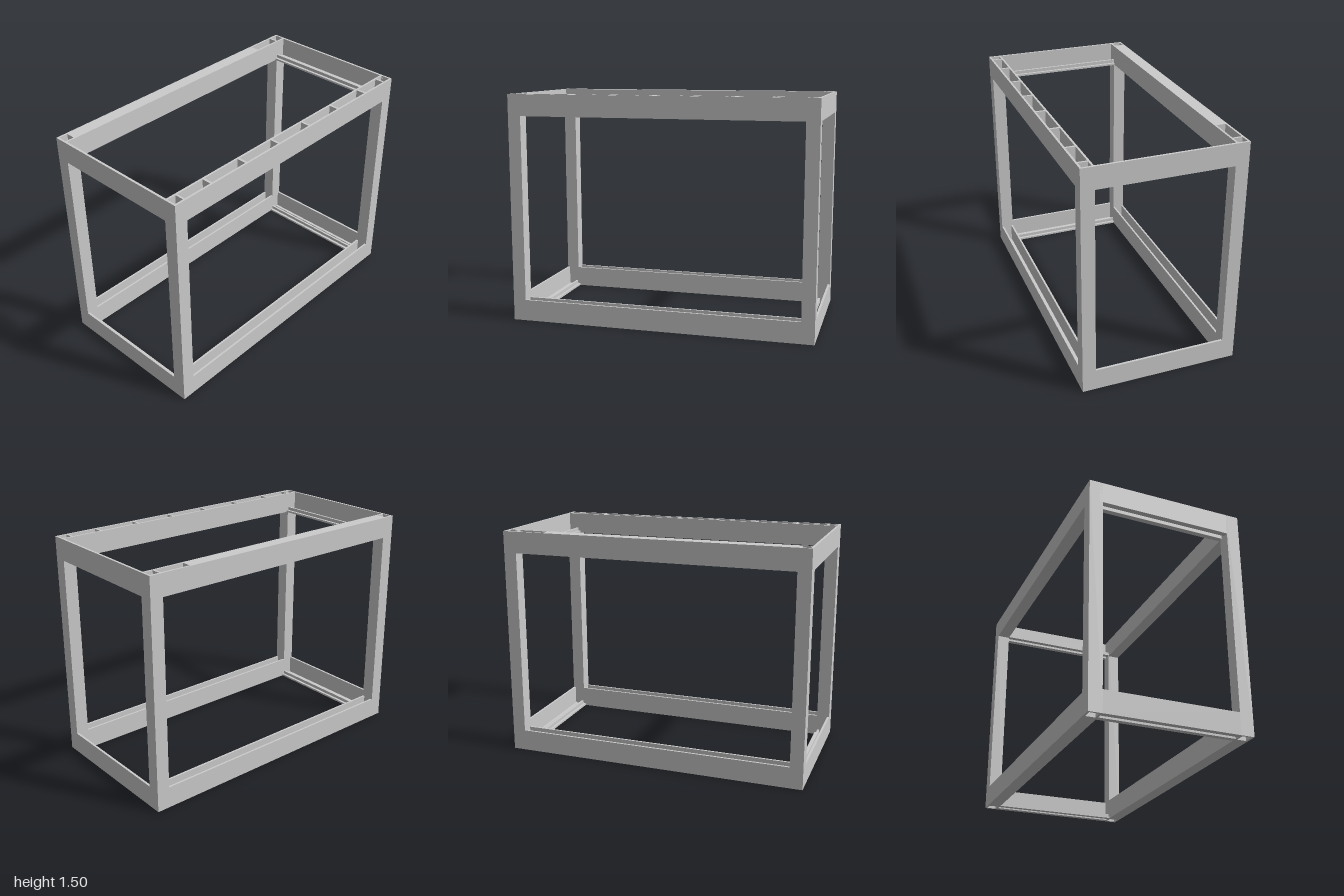
import * as THREE from 'three';

const W = 1, D = 0.51, H = 1.5;      // half width, half depth, height
const POST = 0.085, RAIL = 0.14, T = 0.013;

const material = new THREE.MeshStandardMaterial({ color: 0xcccccc, flatShading: true });

// Box given by its minimum and maximum corners
function box(parent, name, x0, x1, y0, y1, z0, z1) {
  const mesh = new THREE.Mesh(new THREE.BoxGeometry(x1 - x0, y1 - y0, z1 - z0), material);
  mesh.position.set((x0 + x1) / 2, (y0 + y1) / 2, (z0 + z1) / 2);
  mesh.name = name;
  parent.add(mesh);
}

// Hollow square tube, open at both ends
function post(x, z) {
  const h = POST / 2, i = h - T;
  const shape = new THREE.Shape([[-h, -h], [h, -h], [h, h], [-h, h]].map(p => new THREE.Vector2(...p)));
  shape.holes.push(new THREE.Path([[-i, -i], [-i, i], [i, i], [i, -i]].map(p => new THREE.Vector2(...p))));
  const geometry = new THREE.ExtrudeGeometry(shape, { depth: H, bevelEnabled: false });
  geometry.rotateX(-Math.PI / 2);
  const mesh = new THREE.Mesh(geometry, material);
  mesh.position.set(x, 0, z);
  mesh.name = 'cornerPost';
  return mesh;
}

// Upward-open channel running along x, with optional ribs
function longRail(name, y, side, ribbed) {
  const rail = new THREE.Group();
  rail.name = name;
  const x = W - POST, z0 = D - POST, top = y + RAIL;
  const span = (n, a, b, c, d, e, f) =>
    side > 0 ? box(rail, n, a, b, c, d, e, f) : box(rail, n, a, b, c, d, -f, -e);
  span('outerWall', -x, x, y, top, D - T, D);
  span('innerWall', -x, x, y, top, z0, z0 + T);
  span('floor', -x, x, y, y + T, z0 + T, D - T);
  if (ribbed) {
    for (let i = 0; i < 6; i++) {
      const c = (i - 2.5) * 0.285;
      span('rib', c - 0.0075, c + 0.0075, y + T, top, z0 + T, D - T);
    }
  }
  return rail;
}

// Side rail along z: tall outer plate with a foot, and a low inner angle
function sideRail(name, y, side, reach) {
  const rail = new THREE.Group();
  rail.name = name;
  const z = D - POST;
  const span = (n, a, b, c, d, l) =>
    side > 0 ? box(rail, n, a, b, c, d, -l, l) : box(rail, n, -b, -a, c, d, -l, l);
  span('outerPlate', 0.985, W, y, y + RAIL, reach);
  span('outerFoot', 0.965, 0.985, y, y + T, z);
  span('innerLedge', 0.902, 0.935, y, y + T, z);
  span('innerLip', 0.92, 0.935, y + T, y + 0.035, z);
  return rail;
}

export function createModel() {
  const model = new THREE.Group();
  model.name = 'openFrame';
  const top = H - RAIL;

  for (const sx of [-1, 1]) {
    for (const sz of [-1, 1]) model.add(post(sx * (W - POST / 2), sz * (D - POST / 2)));
    model.add(sideRail('topSideRail', top, sx, D - POST + 0.02));
    model.add(sideRail('bottomSideRail', 0, sx, D - POST));
  }

  model.add(longRail('frontTopRail', top, 1, true));
  model.add(longRail('backTopRail', top, -1, true));
  model.add(longRail('frontBottomRail', 0, 1, false));
  model.add(longRail('backBottomRail', 0, -1, false));

  // Cover strip closing all but the last pocket of the back rail
  box(model, 'backRailCover', -W + POST, 0.72, H - T, H, -D + T, -D + POST - T);
  return model;
}
